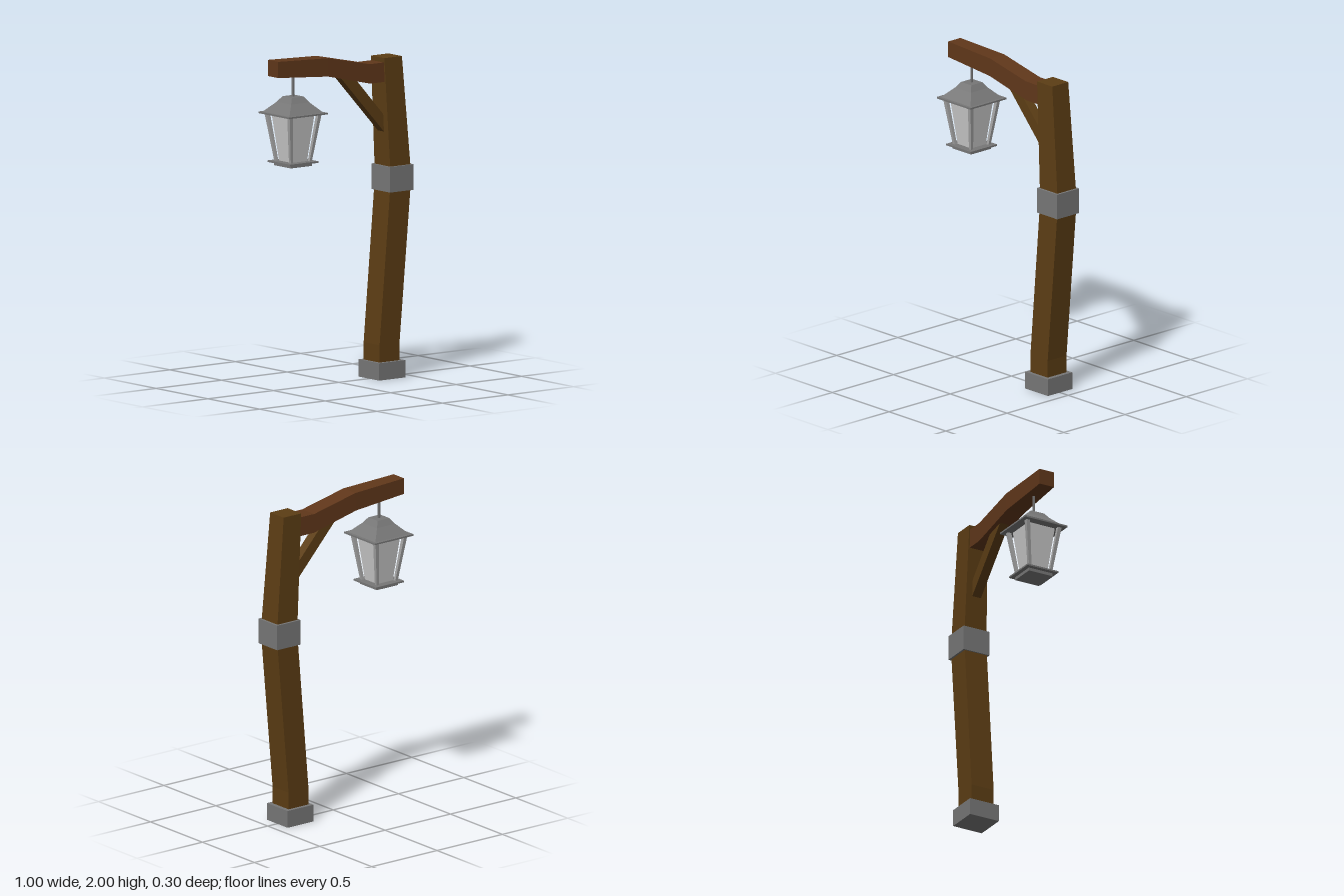
import * as THREE from 'three';

const mat = (color) => new THREE.MeshStandardMaterial({ color, flatShading: true });

// Rectangular cross-section: edge points lo and hi in the xy plane, widened along z
const ring = (lo, hi, halfZ, z = 0) => [
  [...lo, z - halfZ], [...hi, z - halfZ], [...hi, z + halfZ], [...lo, z + halfZ],
];
// Horizontal section, for parts that rise along y
const level = (y, left, right, halfZ, z = 0) => ring([right, y], [left, y], halfZ, z);
const square = (y, half) => level(y, -half, half, half);

// Closed solid through a series of four-cornered sections
function loft(rings) {
  const pos = [];
  const quad = (a, b, c, d) => pos.push(...a, ...b, ...c, ...a, ...c, ...d);
  for (let r = 0; r < rings.length - 1; r++) {
    const a = rings[r], b = rings[r + 1];
    for (let i = 0; i < 4; i++) {
      const j = (i + 1) % 4;
      quad(a[i], a[j], b[j], b[i]);
    }
  }
  const [s, e] = [rings[0], rings[rings.length - 1]];
  quad(s[3], s[2], s[1], s[0]);
  quad(e[0], e[1], e[2], e[3]);
  const g = new THREE.BufferGeometry();
  g.setAttribute('position', new THREE.Float32BufferAttribute(pos, 3));
  g.computeVertexNormals();
  return g;
}

function add(parent, name, geometry, material) {
  const mesh = new THREE.Mesh(geometry, material);
  mesh.name = name;
  parent.add(mesh);
  return mesh;
}

function createLantern(metal, frame, glass) {
  const lantern = new THREE.Group();
  lantern.name = 'lantern';
  add(lantern, 'hangingRod', new THREE.BoxGeometry(0.012, 0.17, 0.012), metal).position.y = 1.845;
  // Flared roof on a thin brim
  add(lantern, 'roof', loft([square(1.672, 0.132), square(1.735, 0.07), square(1.77, 0.045)]), metal);
  add(lantern, 'roofBrim', loft([square(1.664, 0.148), square(1.674, 0.148)]), metal);
  // Tapered glass with four slanted corner bars
  add(lantern, 'glass', loft([square(1.375, 0.059), square(1.666, 0.092)]), glass);
  for (let i = 0; i < 4; i++) {
    const bar = loft([
      level(1.375, 0.062, 0.08, 0.009, 0.071),
      level(1.666, 0.098, 0.122, 0.012, 0.11),
    ]);
    add(lantern, 'cornerBar', bar, frame).rotation.y = i * Math.PI / 2;
  }
  // Floor tray and foot
  add(lantern, 'tray', loft([square(1.369, 0.108), square(1.379, 0.108)]), metal);
  add(lantern, 'foot', loft([square(1.35, 0.081), square(1.37, 0.081)]), metal);
  lantern.position.x = -0.35;
  return lantern;
}

export function createModel() {
  const model = new THREE.Group();
  model.name = 'lampPost';
  const wood = mat(0x5c3d14), beamWood = mat(0x60371a);
  const metal = mat(0x777777), frame = mat(0xa4a4a4), glass = mat(0xcccccc);

  // Footing and collar around the post
  add(model, 'footing', new THREE.BoxGeometry(0.2, 0.105, 0.2), metal).position.set(0.328, 0.0525, 0);
  add(model, 'collar', new THREE.BoxGeometry(0.18, 0.155, 0.18), metal).position.set(0.41, 1.2075, 0);

  // Bent post
  add(model, 'post', loft([
    level(0.05, 0.25, 0.402, 0.077),
    level(0.21, 0.25, 0.402, 0.077),
    level(1.21, 0.336, 0.492, 0.077),
    level(1.945, 0.296, 0.43, 0.065),
  ]), wood);

  // Curved beam carrying the lantern
  add(model, 'beam', loft([
    ring([-0.503, 1.902], [-0.503, 2.0], 0.05),
    ring([-0.13, 1.875], [-0.125, 1.986], 0.058),
    ring([0.195, 1.8], [0.19, 1.918], 0.058),
    ring([0.36, 1.8], [0.36, 1.918], 0.058),
  ]), beamWood);

  // Diagonal brace between beam and post
  add(model, 'brace', loft([
    ring([-0.015, 1.857], [0.085, 1.852], 0.03),
    ring([0.345, 1.467], [0.345, 1.567], 0.03),
  ]), wood);

  model.add(createLantern(metal, frame, glass));
  return model;
}
